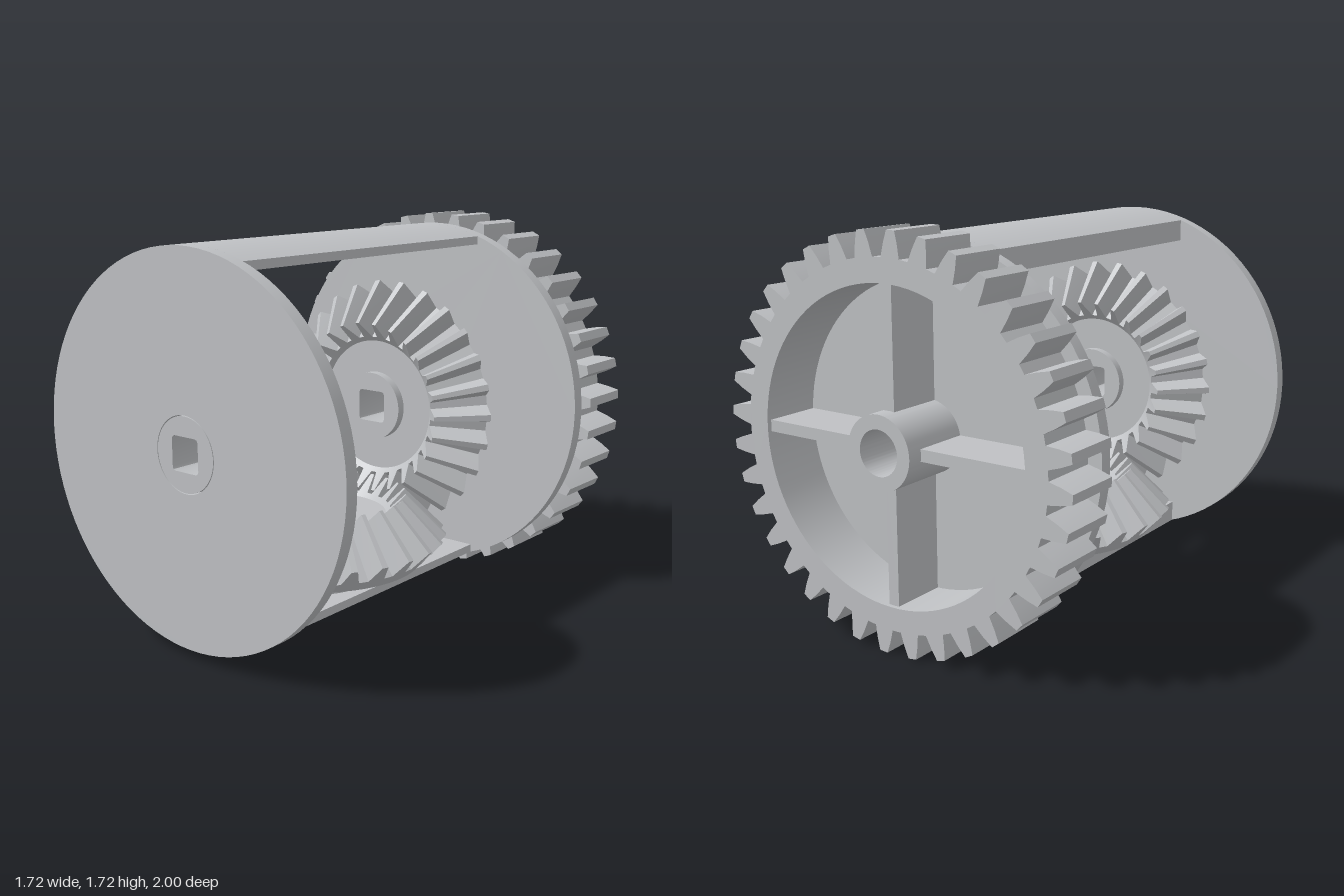
import * as THREE from 'three';
import { toCreasedNormals } from 'three/addons/utils/BufferGeometryUtils.js';

const grey = new THREE.MeshStandardMaterial({ color: 0xbfc1c4 });
grey.name = 'light grey';

const AXIS_Y = 0.86, CENTRE_Z = 0.2, R = 0.815, HALF = 0.275, INNER = 0.73;

function part(name, geometry, parent) {
  const mesh = new THREE.Mesh(toCreasedNormals(geometry, 0.45), grey);
  mesh.name = name;
  parent.add(mesh);
  return mesh;
}

// Extrude an outline along z between two positions
function slab(shape, z0, z1) {
  const g = new THREE.ExtrudeGeometry(shape, { depth: z1 - z0, bevelEnabled: false, curveSegments: 48 });
  return g.translate(0, 0, z0);
}

const circle = r => new THREE.Path().absarc(0, 0, r, 0, Math.PI * 2, true);

function squareHole(h = 0.072, c = 0.015) {
  const p = new THREE.Path();
  for (let i = 0; i < 4; i++) {
    const a = i * Math.PI / 2;
    for (const [x, y] of [[h, -h + c], [h, h - c], [h - c * 0.3, h - c * 0.3]]) {
      const X = x * Math.cos(a) - y * Math.sin(a), Y = x * Math.sin(a) + y * Math.cos(a);
      i === 0 && x === h && y < 0 ? p.moveTo(X, Y) : p.lineTo(X, Y);
    }
  }
  p.closePath();
  return p;
}

function ring(r, hole, z0, z1) {
  const s = new THREE.Shape().absarc(0, 0, r, 0, Math.PI * 2, false);
  s.holes.push(hole);
  return slab(s, z0, z1);
}

// Bevel gear lofted through rings; its pitch cone points at the origin, back towards +z
function bevelGear(teeth = 26) {
  // each ring: [root radius, root z, tip radius, tip z]
  const rings = [
    [0.15, 0.63, 0.15, 0.63], [0.46, 0.63, 0.46, 0.63],
    [0.5, 0.585, 0.57, 0.51], [0.32, 0.40, 0.39, 0.33],
    [0.30, 0.42, 0.30, 0.42], [0.15, 0.42, 0.15, 0.42],
  ];
  const steps = [[-0.32, 0], [-0.1, 1], [0.1, 1], [0.32, 0]];
  const pos = [], idx = [], n = teeth * 4;
  for (const [r0, z0, r1, z1] of rings) {
    for (let t = 0; t < teeth; t++) {
      for (const [f, tip] of steps) {
        const a = (t + f) / teeth * Math.PI * 2, r = tip ? r1 : r0;
        pos.push(r * Math.cos(a), r * Math.sin(a), tip ? z1 : z0);
      }
    }
  }
  for (let k = 0; k < rings.length - 1; k++) {
    for (let i = 0; i < n; i++) {
      const a = k * n + i, b = k * n + (i + 1) % n;
      idx.push(a, a + n, b, b, a + n, b + n);
    }
  }
  const g = new THREE.BufferGeometry();
  g.setAttribute('position', new THREE.Float32BufferAttribute(pos, 3));
  g.setIndex(idx);
  return g;
}

// Bridge section between the end discs; side is +1 for top, -1 for bottom
function bridge(side, z0, z1) {
  const pts = [[HALF, INNER * side]];
  for (let i = 0; i <= 12; i++) {
    const x = HALF * (1 - i / 6);
    pts.push([x, side * Math.sqrt(R * R - x * x)]);
  }
  pts.push([-HALF, INNER * side]);
  return slab(new THREE.Shape(pts.map(p => new THREE.Vector2(...p))), z0, z1);
}

// Bottom bridge section with a round bearing hole, its underside bent to the cage radius
function bearingSection(halfLength) {
  const s = new THREE.Shape(), n = 12;
  for (let i = 0; i <= n; i++) s.lineTo(-HALF + 2 * HALF * i / n, -halfLength);
  for (let i = 0; i <= n; i++) s.lineTo(HALF - 2 * HALF * i / n, halfLength);
  s.curves.shift();
  s.holes.push(circle(0.16));
  const g = slab(s, 0, 1), p = g.attributes.position;
  for (let i = 0; i < p.count; i++) {
    const x = p.getX(i), u = p.getY(i), inner = p.getZ(i) > 0.5;
    p.setXYZ(i, x, inner ? -INNER : -Math.sqrt(R * R - x * x), CENTRE_Z - u);
  }
  return g;
}

// Spur gear outline
function spurRim(teeth = 36) {
  const pts = [], pitch = Math.PI * 2 / teeth;
  for (let t = 0; t < teeth; t++) {
    const mid = Math.PI / 2 + THREE.MathUtils.degToRad(3) + t * pitch;
    for (const [f, r] of [[-0.34, 0.755], [-0.24, 0.81], [-0.13, 0.86], [0.13, 0.86], [0.24, 0.81], [0.34, 0.755]]) {
      const a = mid + f * pitch;
      pts.push(new THREE.Vector2(r * Math.cos(a), r * Math.sin(a)));
    }
  }
  const s = new THREE.Shape(pts);
  s.holes.push(circle(0.655));
  return s;
}

export function createModel() {
  const model = new THREE.Group();
  model.name = 'differential';

  // Cage: two end discs joined by top and bottom bridges
  const cage = new THREE.Group();
  cage.name = 'cage';
  cage.position.y = AXIS_Y;
  model.add(cage);
  part('frontDisc', ring(R, circle(0.159), 0.94, 1), cage);
  part('backDisc', ring(R, circle(0.15), -0.68, -0.62), cage);
  part('topBridge', bridge(1, -0.62, 0.94), cage);
  part('bottomBridgeBack', bridge(-1, -0.62, CENTRE_Z - 0.22), cage);
  part('bottomBridgeFront', bridge(-1, CENTRE_Z + 0.22, 0.94), cage);
  part('bottomBearing', bearingSection(0.22), cage);
  for (const side of [1, -1]) {
    const lip = part('bridgeLip', new THREE.BoxGeometry(0.075, 0.06, 1.56), cage);
    lip.position.set(-HALF + 0.0375, side * 0.7, 0.16);
  }

  // Ring gear with four spokes
  part('ringGear', slab(spurRim(), -0.95, -0.68), cage);
  for (let i = 0; i < 4; i++) {
    const spoke = new THREE.BoxGeometry(0.53, 0.05, 0.25).translate(0.405, 0, -0.805);
    part('spoke', spoke.rotateZ(i * Math.PI / 2), cage);
  }

  // Three meshing bevel gears around a shared centre
  const bevels = [
    ['frontBevel', 0, 0, false], ['backBevel', 0, Math.PI, true], ['bottomBevel', Math.PI / 2, 0, false],
  ];
  for (const [name, rx, ry, driven] of bevels) {
    const g = new THREE.Group();
    g.name = name;
    g.position.set(0, AXIS_Y, CENTRE_Z);
    g.rotation.set(rx, ry, 0);
    model.add(g);
    const gear = part('bevelGear', bevelGear(), g);
    if (rx) gear.rotation.z = Math.PI / 26;
    if (driven) {
      part('squareSocket', ring(0.155, squareHole(), 0.38, 0.6), g);
      part('driveTube', ring(0.155, circle(0.095), 0.6, 1.2), g);
    } else {
      part('pin', ring(0.155, squareHole(), 0.38, 0.8), g);
      part('collar', ring(0.22, circle(0.15), 0.65, 0.74), g);
    }
  }
  return model;
}
